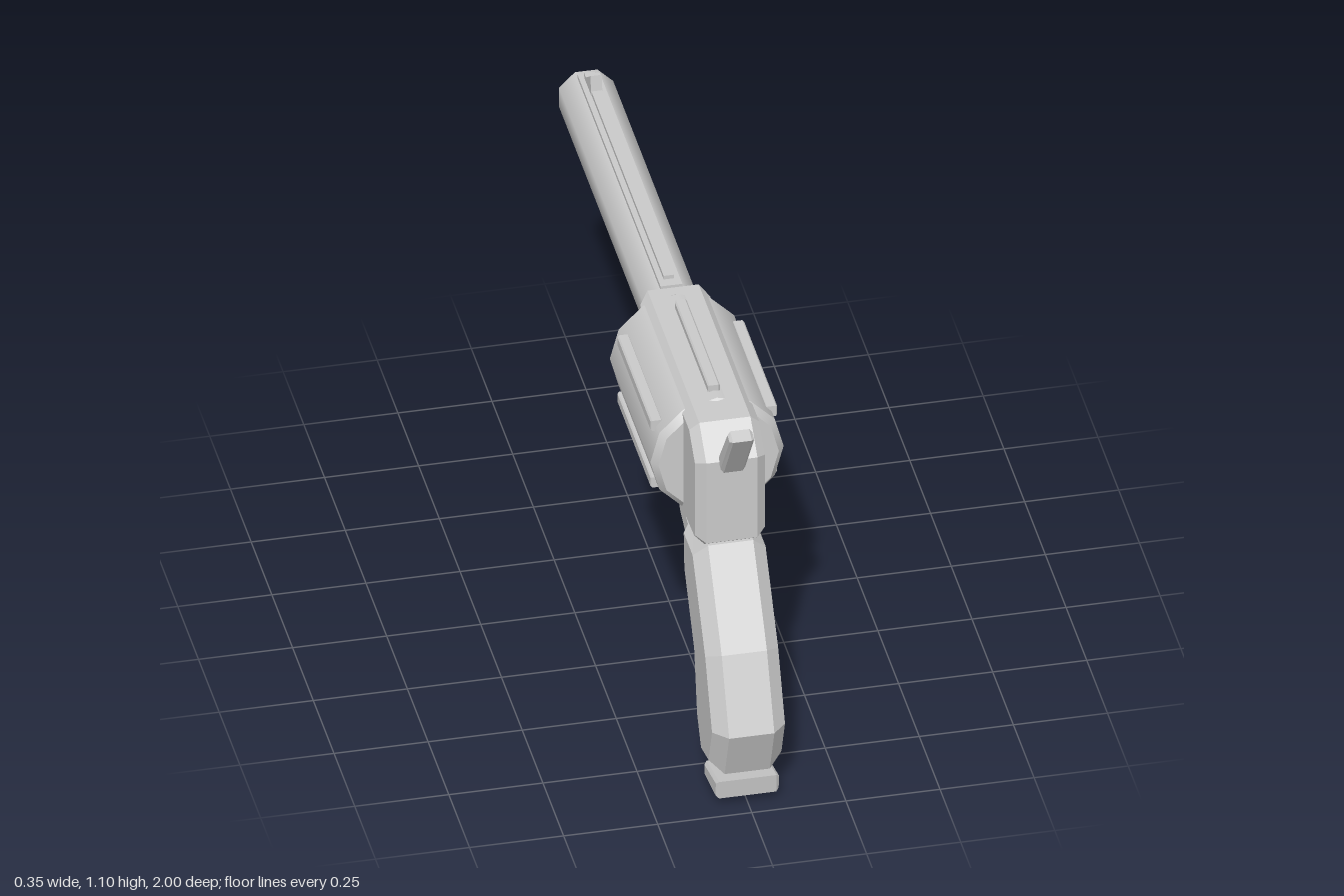
import * as THREE from 'three';

export function createModel() {
  const model = new THREE.Group();
  const steel = new THREE.MeshStandardMaterial({ color: 0xcacaca });
  const steelInside = new THREE.MeshStandardMaterial({ color: 0xcacaca, side: THREE.BackSide });
  steel.name = 'light steel grey';
  steelInside.name = 'light steel grey bore';

  const add = (name, geometry, material = steel) => {
    const mesh = new THREE.Mesh(geometry, material);
    mesh.name = name;
    model.add(mesh);
    return mesh;
  };

  // Side profile of [z, y] points, given a total width in x and a chamfer
  const slab = (name, points, width, bevel = 0) => {
    const shape = new THREE.Shape(points.map(([z, y]) => new THREE.Vector2(z, y)));
    const geometry = new THREE.ExtrudeGeometry(shape, {
      depth: width - 2 * bevel, bevelEnabled: bevel > 0, bevelSegments: 1,
      bevelSize: bevel, bevelThickness: bevel, bevelOffset: -bevel,
    });
    geometry.translate(0, 0, bevel - width / 2).rotateY(-Math.PI / 2);
    return add(name, geometry);
  };

  // Round bar along z from z0 to z1, with radius r0 at z0 and r1 at z1
  const bar = (name, x, y, z0, z1, r0, r1, sides, open = false, material = steel) => {
    const geometry = new THREE.CylinderGeometry(r1, r0, z1 - z0, sides, 1, open, sides === 8 ? Math.PI / 8 : 0);
    geometry.rotateX(Math.PI / 2).translate(x, y, (z0 + z1) / 2);
    return add(name, geometry, material);
  };

  const box = (name, x, y, z, w, h, d) =>
    add(name, new THREE.BoxGeometry(w, h, d).translate(x, y, z));

  // Frame
  slab('frame', [[0.76, 0.695], [0.735, 0.677], [0.6, 0.669], [0.09, 0.669], [0.055, 0.70],
    [0.05, 1.017], [0.675, 1.017], [0.76, 0.945]], 0.186, 0.025);

  // Drum with chamfered ends
  const axisY = 0.846, radius = 0.177;
  bar('drum', 0, axisY, 0.09, 0.58, radius, radius, 12, true);
  bar('drumRearEdge', 0, axisY, 0.58, 0.6, radius, 0.16, 12);
  bar('drumFrontEdge', 0, axisY, 0.065, 0.09, 0.16, radius, 12);

  // Raised ribs and chamber mouths around the drum
  for (let i = 0; i < 6; i++) {
    const a = Math.PI / 6 + i * Math.PI / 3;
    const c = Math.cos(a), s = Math.sin(a);
    const upright = Math.abs(c) < 0.01;
    const rib = slab('drumRib', [[0.14, -0.016], [0.545, -0.016], [0.545, 0.016], [0.14, 0.016]], 0.032, 0.004);
    rib.position.set(upright ? 0 : c * 0.176, axisY + s * 0.177, 0);
    bar('chamberMouth', c * 0.115, axisY + s * 0.115, 0.055, 0.08, 0.034, 0.034, 8);
  }

  // Barrel with a recessed bore
  const barrelY = 0.928, outer = 0.078, inner = 0.045;
  bar('barrel', 0, barrelY, -1, 0.06, outer, outer, 8, true);
  add('muzzleRing', new THREE.RingGeometry(inner, outer, 8, 1, Math.PI / 8)
    .rotateY(Math.PI).translate(0, barrelY, -1));
  bar('bore', 0, barrelY, -1, -0.9, inner, inner, 8, true, steelInside);
  add('boreEnd', new THREE.CircleGeometry(inner, 8, Math.PI / 8)
    .rotateY(Math.PI).translate(0, barrelY, -0.9));

  // Barrel rib, front sight and ejector rod
  box('ribBase', 0, 1.002, -0.47, 0.058, 0.018, 1.0);
  box('barrelRib', 0, 1.01, -0.48, 0.028, 0.024, 0.96);
  slab('frontSight', [[-0.87, 1.01], [-0.955, 1.01], [-0.88, 1.065]], 0.03);
  bar('ejectorRod', 0, 0.818, -0.455, 0.07, 0.038, 0.038, 8);

  // Hammer
  slab('hammer', [[0.89, 1.09], [0.853, 1.102], [0.735, 0.945], [0.775, 0.92]], 0.066, 0.008);

  // Grip and butt cap
  slab('grip', [[0.745, 0.677], [0.91, 0.44], [1.0, 0.24], [0.945, 0.093], [0.81, 0.062],
    [0.745, 0.165], [0.71, 0.345], [0.59, 0.52], [0.58, 0.675]], 0.194, 0.037);
  slab('buttCap', [[0.955, 0.077], [0.8, 0.042], [0.805, 0], [0.95, 0.022]], 0.168, 0.008);

  // Trigger guard and trigger
  slab('triggerGuard', [[0.257, 0.68], [0.257, 0.57], [0.27, 0.524], [0.3, 0.487], [0.38, 0.453],
    [0.46, 0.446], [0.54, 0.461], [0.618, 0.508], [0.604, 0.56], [0.575, 0.585], [0.56, 0.54],
    [0.51, 0.522], [0.45, 0.515], [0.38, 0.53], [0.342, 0.56], [0.33, 0.6], [0.33, 0.68]], 0.076, 0.01);
  slab('trigger', [[0.455, 0.68], [0.388, 0.68], [0.391, 0.635], [0.423, 0.59], [0.411, 0.545],
    [0.438, 0.556], [0.455, 0.6], [0.443, 0.64]], 0.044, 0.005);

  return model;
}
